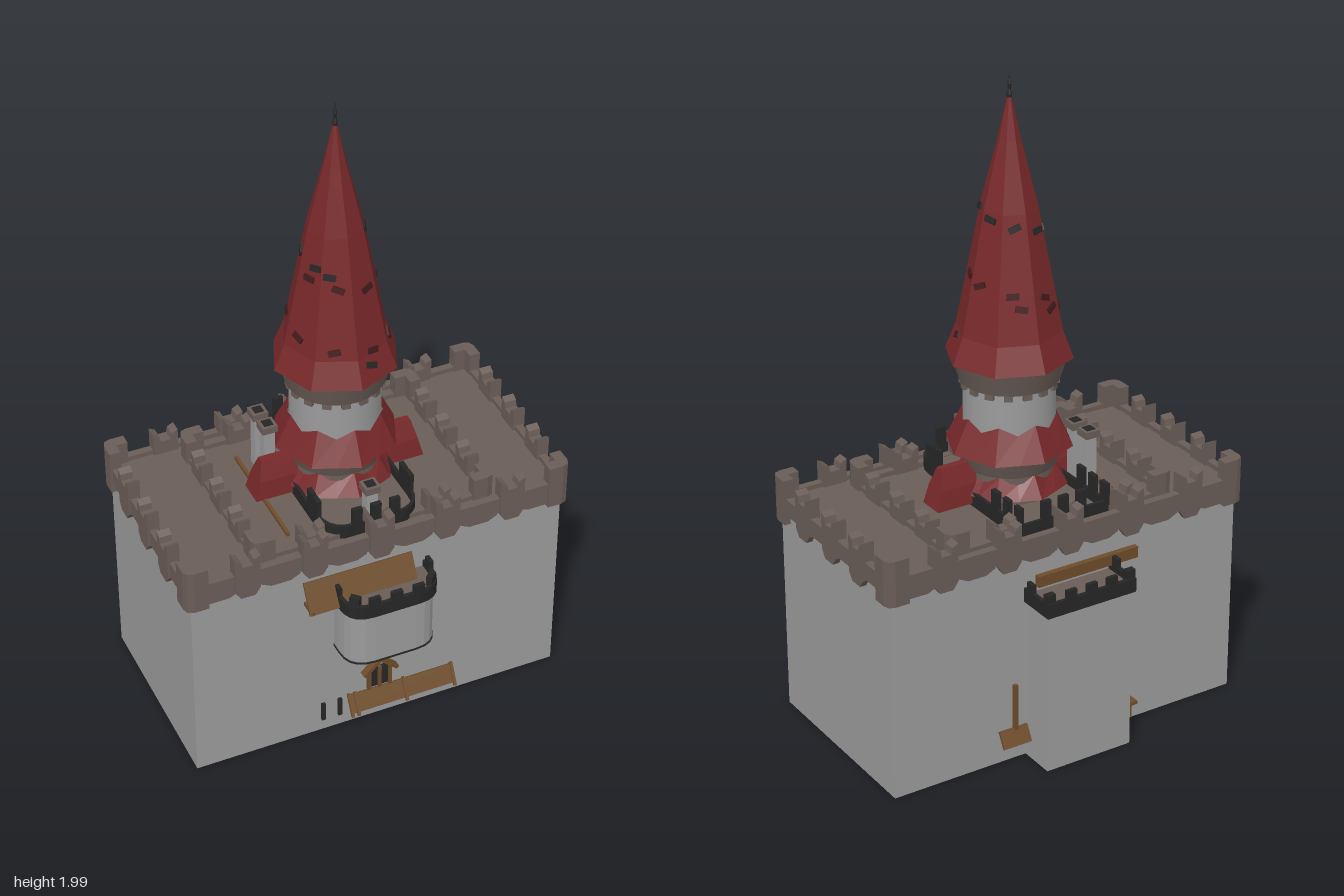
import * as THREE from 'three';

const mat = (name, color, extra = {}) =>
  Object.assign(new THREE.MeshStandardMaterial({ color, ...extra }), { name });

export function createModel() {
  const root = new THREE.Group();
  root.name = 'castleKeep';
  const wall = mat('wall grey', 0x9b9b9b);
  const stone = mat('brown stone', 0x6a5d57);
  const red = mat('roof red', 0x78282a, { side: THREE.DoubleSide });
  const dark = mat('dark stone', 0x262626);
  const wood = mat('wood', 0x6e4c2a);
  const tile = mat('dark tile', 0x421a1b);

  const add = (name, geo, material, parent = root) => {
    const m = new THREE.Mesh(geo, material);
    m.name = name;
    parent.add(m);
    return m;
  };
  const flat = (geo) => {
    const g = geo.index ? geo.toNonIndexed() : geo;
    g.computeVertexNormals();
    return g;
  };
  const box = (name, material, w, h, d, x, y, z, rx = 0, ry = 0, rz = 0) => {
    const m = add(name, new THREE.BoxGeometry(w, h, d), material);
    m.position.set(x, y, z);
    m.rotation.set(rx, ry, rz);
    return m;
  };
  // plan outline with separate corner radii at the back and the front
  const outline = (hx, z0, z1, rb, rf, C = THREE.Shape) => {
    const s = new C();
    s.moveTo(-hx + rb, z0);
    s.lineTo(hx - rb, z0);
    if (rb) s.quadraticCurveTo(hx, z0, hx, z0 + rb);
    s.lineTo(hx, z1 - rf);
    if (rf) s.quadraticCurveTo(hx, z1, hx - rf, z1);
    s.lineTo(-hx + rf, z1);
    if (rf) s.quadraticCurveTo(-hx, z1, -hx, z1 - rf);
    s.lineTo(-hx, z0 + rb);
    if (rb) s.quadraticCurveTo(-hx, z0, -hx + rb, z0);
    return s;
  };
  // plan shape raised from y0 to y1
  const raise = (name, material, shape, y0, y1) =>
    add(name, new THREE.ExtrudeGeometry(shape, { depth: y1 - y0, bevelEnabled: false, curveSegments: 5 })
      .rotateX(Math.PI / 2).translate(0, y1, 0), material);
  const ring = (name, material, hx, z0, z1, rb, rf, t, y0, y1) => {
    const s = outline(hx, z0, z1, rb, rf);
    s.holes.push(outline(hx - t, z0 + t, z1 - t, Math.max(0, rb - t), Math.max(0, rf - t), THREE.Path));
    return raise(name, material, s, y0, y1);
  };
  const poly = (pts) => new THREE.Shape(pts.map(([x, y]) => new THREE.Vector2(x, y)));

  // main block and deck
  box('mainWalls', wall, 1.18, 0.69, 0.63, 0, 0.345, 0);
  box('deck', stone, 1.18, 0.012, 0.63, 0, 0.694, 0);

  // parapet with notched merlons, tapering below
  const merlonGeo = (w, y0, d) => new THREE.ExtrudeGeometry(poly([
    [-w * 0.28, y0], [w * 0.28, y0], [w / 2, y0 + 0.025], [w / 2, 0.775], [w * 0.25, 0.765],
    [w * 0.2, 0.745], [-w * 0.2, 0.745], [-w * 0.25, 0.765], [-w / 2, 0.775], [-w / 2, y0 + 0.025],
  ]), { depth: d, bevelEnabled: false }).translate(0, 0, -d / 2);
  const parapet = (name, hx, hz, xs, zs, y0) => {
    ring(name + 'Wall', stone, hx - 0.007, -hz + 0.007, hz - 0.007, 0.03, 0.03, 0.024, y0 + 0.03, 0.715);
    const place = (x, z, ry) => {
      const m = add(name + 'Merlon', merlonGeo(0.078, y0, 0.038), stone);
      m.position.set(x, 0, z);
      m.rotation.y = ry;
    };
    for (const s of [-1, 1]) {
      for (const x of xs) place(x, s * (hz - 0.019), 0);
      for (const z of zs) place(s * (hx - 0.019), z, Math.PI / 2);
      // rounded corner merlons
      for (const c of [-1, 1]) {
        raise(name + 'Corner', stone, poly([
          [hx - 0.07, hz], [hx - 0.025, hz], [hx - 0.007, hz - 0.007], [hx, hz - 0.025], [hx, hz - 0.07],
          [hx - 0.035, hz - 0.07], [hx - 0.035, hz - 0.035], [hx - 0.07, hz - 0.035],
        ].map(([x, z]) => [x * s, z * c])), y0, 0.775);
      }
    }
  };
  parapet('outerParapet', 0.61, 0.333, [-0.42, -0.315, -0.21, -0.105, 0, 0.105, 0.21, 0.315, 0.42]
    .filter((_, i) => i % 2 === 0), [-0.155, 0, 0.155], 0.632);
  // pointed corbels between the merlons
  for (const s of [-1, 1]) {
    for (const x of [-0.315, -0.105, 0.105, 0.315, -0.505, 0.505]) {
      const g = new THREE.ExtrudeGeometry(poly([[-0.06, 0.7], [-0.06, 0.655], [-0.03, 0.64], [0.03, 0.64],
        [0.06, 0.655], [0.06, 0.7]]), { depth: 0.012, bevelEnabled: false });
      add('corbel', g, stone).position.set(x, 0, s * 0.319 - 0.006);
    }
  }
  parapet('innerParapet', 0.385, 0.288, [-0.2, 0, 0.2], [-0.14, 0, 0.14], 0.65);

  // dark edged keep around the tower
  raise('keepDeck', stone, outline(0.15, -0.29, 0.288, 0, 0.09), 0.69, 0.712);
  ring('keepEdge', dark, 0.153, -0.293, 0.291, 0, 0.09, 0.01, 0.7, 0.745);
  for (const s of [-1, 1]) {
    for (const z of [-0.28, -0.22, -0.16, 0.16, 0.2])
      box('keepMerlon', dark, 0.014, 0.07, 0.032, s * 0.147, 0.765, z);
    for (const x of [-0.06, 0, 0.06]) box('keepMerlon', dark, 0.03, 0.07, 0.014, x, 0.765, s * 0.286);
  }

  // front bay and back tower, each with a dark crown
  const bay = (name, y0, z0, z1, rb, rf) => {
    raise(name, wall, outline(0.145, z0, z1, rb, rf), y0, 0.525);
    raise(name + 'Deck', stone, outline(0.145, z0, z1, rb, rf), 0.525, 0.535);
    ring(name + 'Crown', dark, 0.152, z0 - (z0 < 0 ? 0.009 : 0), z1 + (z0 > 0 ? 0.009 : 0), rb, rf, 0.012, 0.512, 0.557);
    const s = Math.sign(z0), r = s > 0 ? rf : rb, far = s > 0 ? z1 : -z0;
    for (const x of [-0.07, 0, 0.07]) box(name + 'Merlon', dark, 0.034, 0.035, 0.013, x, 0.566, s * (far + 0.003));
    for (const x of [-1, 1]) {
      box(name + 'Merlon', dark, 0.013, 0.035, 0.03, x * 0.146, 0.566, s * 0.345);
      box(name + 'Merlon', dark, 0.03, 0.035, 0.02, x * (0.137 - r * 0.2), 0.566, s * (far - 0.006 - r * 0.2),
        0, x * s * (r ? Math.PI / 4 : 0));
    }
  };
  bay('frontBay', 0.33, 0.3, 0.431, 0, 0.08);
  bay('backTower', 0, -0.431, -0.3, 0, 0);
  ring('bayFoot', dark, 0.147, 0.3, 0.433, 0, 0.08, 0.02, 0.327, 0.333);

  // round tower from its foot to the eaves
  const lathe = (name, material, pts, n) => add(name, flat(new THREE.LatheGeometry(
    pts.map(([r, y]) => new THREE.Vector2(r, y)), n)), material);
  const smooth = (name, material, rt, rb, y0, y1) => add(name,
    new THREE.CylinderGeometry(rt, rb, y1 - y0, 24).translate(0, (y0 + y1) / 2, 0), material);
  smooth('towerFoot', stone, 0.135, 0.135, 0.7, 0.81);
  smooth('lowerCollar', stone, 0.165, 0.14, 0.8, 0.862);
  smooth('towerShaft', wall, 0.136, 0.136, 0.86, 1.07);
  smooth('upperCollar', stone, 0.172, 0.148, 1.065, 1.142);
  const skirt = (name, rt, rb, y0, y1) => {
    const g = new THREE.CylinderGeometry(rt, rb, y1 - y0, 16, 1, true).translate(0, (y0 + y1) / 2, 0);
    const p = g.attributes.position;
    for (let i = 0; i < p.count; i++) {
      if (i % 17 % 2 === 0) continue;
      if (i < 17) p.setY(i, y1 - 0.025);
      else p.setXYZ(i, p.getX(i) * 0.93, y0, p.getZ(i) * 0.93);
    }
    add(name, flat(g), red);
  };
  skirt('middleRoof', 0.14, 0.19, 0.858, 0.96);
  skirt('lowerRoof', 0.135, 0.175, 0.735, 0.8);
  for (let i = 0; i < 16; i++) {
    const a = (i + 0.5) * Math.PI / 8;
    box('dentil', stone, 0.026, 0.022, 0.016, Math.sin(a) * 0.138, 1.058, Math.cos(a) * 0.138, 0, a);
  }

  // eight-sided spire with a finial
  const spire = [[0.19, 1.138], [0.158, 1.22], [0.13, 1.36], [0.085, 1.59], [0.034, 1.79], [0.005, 1.92]];
  lathe('spire', red, spire, 8);
  lathe('spireEaves', red, [[0.165, 1.141], [0.19, 1.138]], 8);
  lathe('finial', dark, [[0.005, 1.89], [0.008, 1.92], [0.004, 1.935], [0.006, 1.95], [0.002, 1.965], [0, 1.99]], 8);

  // loose tiles lying on the spire faces
  for (let i = 0; i < 22; i++) {
    const a = (i * 3 % 8 + 0.5) * Math.PI / 4;
    const y = 1.18 + 0.42 * ((i * 7) % 22) / 22 + 0.01;
    const k = spire.findIndex(([, h]) => h > y);
    const [r0, h0] = spire[k - 1], [r1, h1] = spire[k];
    const r = (r0 + (r1 - r0) * (y - h0) / (h1 - h0)) * Math.cos(Math.PI / 8) + 0.002;
    const pivot = new THREE.Group();
    pivot.name = 'looseTile';
    pivot.rotation.y = a;
    root.add(pivot);
    const m = add('tile', new THREE.BoxGeometry(0.036, 0.018, 0.009), i % 3 ? tile : dark, pivot);
    m.position.set(((i * 5) % 7 - 3) * 0.006, y, r);
    m.rotation.set(-Math.atan2(r0 - r1, h1 - h0), 0, ((i % 5) - 2) * 0.2, 'XYZ');
  }

  // red hipped dormers on both sides of the tower
  for (const s of [-1, 1]) {
    const g = new THREE.ExtrudeGeometry(poly([[-0.042, 0.71], [0.042, 0.71], [0.034, 0.77], [0.012, 0.83],
      [-0.012, 0.83], [-0.034, 0.77]]), { depth: 0.17, bevelEnabled: false }).rotateY(Math.PI / 2).translate(0.1, 0, 0);
    const p = g.attributes.position;
    for (let i = 0; i < p.count; i++)
      if (p.getX(i) > 0.2) p.setX(i, 0.27 - (p.getY(i) - 0.71) * 0.25);
    g.computeVertexNormals();
    if (s < 0) g.rotateY(Math.PI);
    add('sideDormer', g, red);
  }

  // chimneys
  for (const [x, z, h] of [[-0.188, -0.135, 0.9], [-0.188, -0.065, 0.9], [0, 0.245, 0.84]]) {
    box('chimney', wall, 0.034, h - 0.7, 0.034, x, (h + 0.7) / 2 - 0.01, z);
    box('chimneyCap', stone, 0.048, 0.022, 0.048, x, h - 0.011, z);
    box('chimneyMouth', dark, 0.028, 0.004, 0.028, x, h + 0.001, z);
  }
  box('deckBeam', wood, 0.01, 0.012, 0.39, -0.242, 0.706, 0.015);

  // timber lean-tos on the front and back walls
  box('frontLeanTo', wood, 0.345, 0.1, 0.008, -0.072, 0.563, 0.343, -0.5);
  for (const x of [-0.235, 0.09]) box('leanToStrut', wood, 0.01, 0.012, 0.055, x, 0.525, 0.342);
  box('frontAwning', wood, 0.345, 0.06, 0.008, 0.072, 0.083, 0.333, -0.5);
  for (const x of [-0.1, -0.08, 0.08, 0.24]) box('awningPost', wood, 0.009, 0.075, 0.009, x, 0.083, 0.338, -0.5);
  box('backBeam', wood, 0.345, 0.035, 0.018, -0.06, 0.57, -0.324);
  box('backShelf', wood, 0.06, 0.01, 0.065, -0.18, 0.09, -0.345);
  box('backShelfPost', wood, 0.01, 0.05, 0.01, -0.19, 0.065, -0.365);
  box('backAwning', wood, 0.1, 0.055, 0.008, 0.19, 0.083, -0.333, 0.5);
  box('backPost', wood, 0.012, 0.15, 0.012, 0.185, 0.175, -0.322);

  // gabled window and arrow slits
  box('windowPane', dark, 0.06, 0.075, 0.008, 0, 0.155, 0.318);
  for (const x of [-0.034, 0, 0.034]) box('windowPost', wood, 0.01, 0.08, 0.014, x, 0.155, 0.322);
  for (const s of [-1, 1]) box('windowGable', wood, 0.075, 0.012, 0.025, s * 0.027, 0.205, 0.325, 0, 0, -s * 0.75);
  for (const x of [-0.182, -0.128]) box('arrowSlit', dark, 0.012, 0.065, 0.009, x, 0.075, 0.319);
  return root;
}
